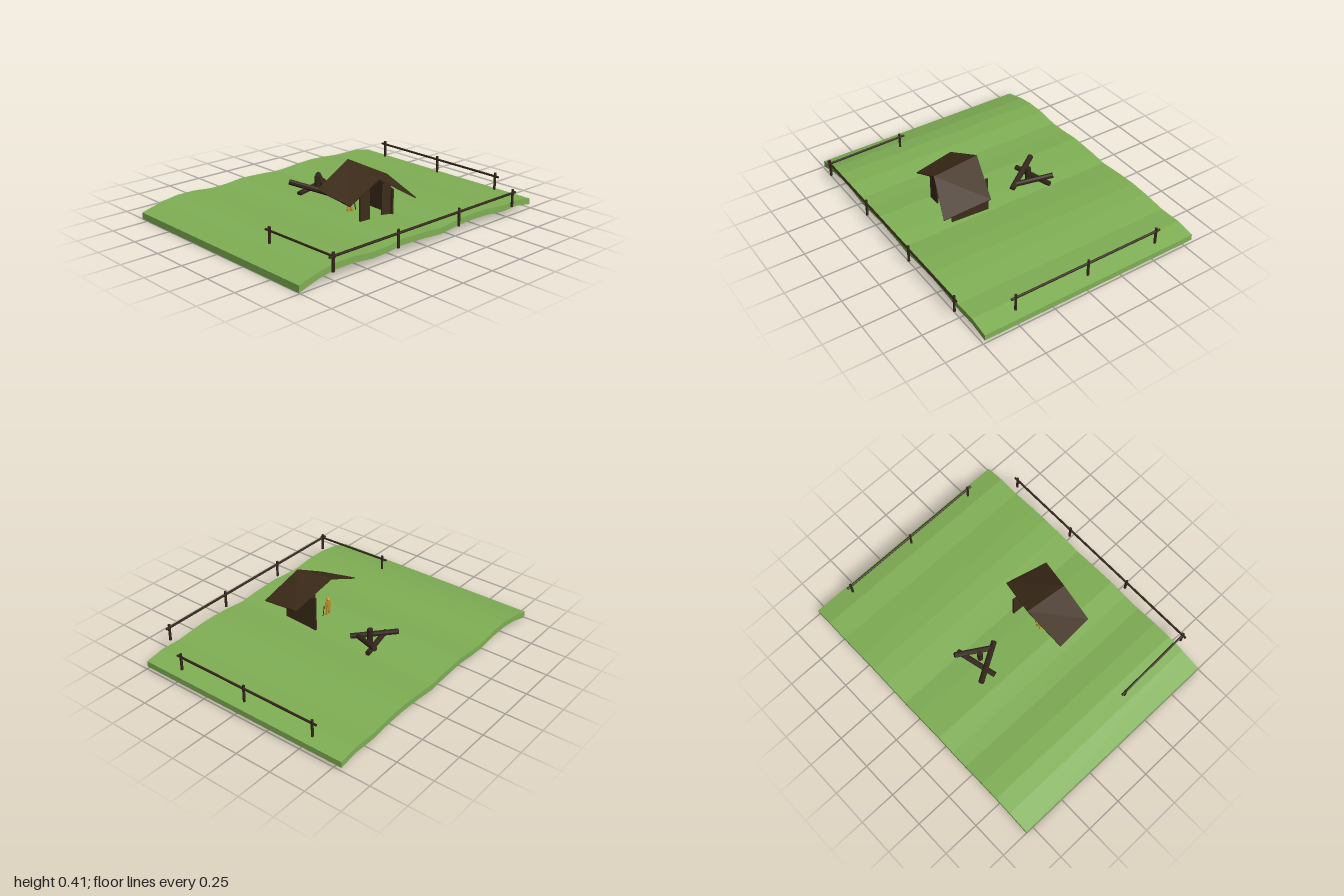
import * as THREE from 'three';

const mat = (color) => new THREE.MeshStandardMaterial({ color, flatShading: true });
const grass = mat(0x80b055), wood = mat(0x33261a), plankWood = mat(0x3e2d1a), gold = mat(0xc49a2e);
const V = (p) => new THREE.Vector3(...p);

function add(parent, name, geometry, material, pos = [0, 0, 0]) {
  const mesh = new THREE.Mesh(geometry, material);
  mesh.name = name;
  mesh.position.set(...pos);
  parent.add(mesh);
  return mesh;
}

// Slab spanning four top corners: back left, back right, front left, front right
function slab(parent, name, corners, thickness) {
  const [a, b, c, d] = corners.map(V);
  const n = b.clone().sub(a).cross(c.clone().sub(a)).normalize().negate();
  const geo = new THREE.BoxGeometry(1, 1, 1);
  const p = geo.attributes.position;
  for (let i = 0; i < p.count; i++) {
    const u = p.getX(i) + 0.5, v = p.getZ(i) + 0.5;
    const q = a.clone().lerp(b, u).lerp(c.clone().lerp(d, u), v);
    q.addScaledVector(n, (p.getY(i) - 0.5) * thickness);
    p.setXYZ(i, q.x, q.y, q.z);
  }
  geo.computeVertexNormals();
  return add(parent, name, geo, plankWood);
}

// Round bar between two points
function bar(parent, name, from, to, radius, material = wood, sides = 8) {
  const a = V(from), b = V(to), dir = b.clone().sub(a);
  const mesh = add(parent, name, new THREE.CylinderGeometry(radius, radius, dir.length(), sides), material);
  mesh.position.copy(a).lerp(b, 0.5);
  mesh.quaternion.setFromUnitVectors(new THREE.Vector3(0, 1, 0), dir.normalize());
  return mesh;
}

function group(parent, name) {
  const g = new THREE.Group();
  g.name = name;
  parent.add(g);
  return g;
}

// Fence: posts at the given spots, one rail from end to end
function fence(parent, name, from, to, posts) {
  const g = group(parent, name);
  bar(g, 'rail', [from[0], 0.17, from[1]], [to[0], 0.17, to[1]], 0.008, wood, 6);
  for (const [x, z] of posts) bar(g, 'post', [x, 0.077, z], [x, 0.194, z], 0.009, wood, 6);
}

export function createModel() {
  const model = new THREE.Group();
  model.name = 'campHut';

  // Rolling ground slab
  const profile = [[-1, 0.045], [-0.85, 0.084], [-0.73, 0.101], [-0.6, 0.101], [-0.45, 0.084],
    [-0.33, 0.088], [-0.2, 0.101], [0, 0.092], [0.12, 0.081], [0.3, 0.097], [0.43, 0.102],
    [0.55, 0.097], [0.72, 0.08], [0.87, 0.085], [1, 0.063]];
  const under = profile.map(([x, y]) => [x, Math.max(0, y - 0.04)]);
  under[0][1] = 0;
  const outline = [...under, ...profile.slice().reverse()].map(([x, y]) => new THREE.Vector2(x, y));
  add(model, 'ground', new THREE.ExtrudeGeometry(new THREE.Shape(outline), { depth: 1.545, bevelEnabled: false }),
    grass, [0, 0, -0.805]);

  // Fences
  fence(model, 'frontFence', [-0.82, 0.785], [0.78, 0.785], [-0.79, -0.285, 0.24, 0.755].map((x) => [x, 0.785]));
  fence(model, 'leftFence', [0.94, -0.58], [0.94, 0.52], [0.49, -0.03, -0.55].map((z) => [0.94, z]));
  fence(model, 'rightFence', [-0.805, 0.215], [-0.792, 0.8], [[-0.804, 0.25], [-0.793, 0.785]]);

  // Leaning hut: two roof panels, a side wall and front planks
  const hut = group(model, 'hut');
  const ridgeBack = [-0.05, 0.412, 0.105], ridgeFront = [-0.07, 0.36, 0.41];
  slab(hut, 'roofRight', [[-0.33, 0.28, 0.13], ridgeBack, [-0.31, 0.238, 0.4], ridgeFront], 0.008);
  slab(hut, 'roofLeft', [ridgeBack, [0.225, 0.272, 0.18], ridgeFront, [0.17, 0.205, 0.49]], 0.008);
  slab(hut, 'sideWall', [[0.1, 0.08, 0.118], [0.1, 0.325, 0.118], [0.085, 0.08, 0.38], [0.085, 0.25, 0.38]].map(
    ([x, y, z]) => [x - 0.012, y, z]), 0.012);
  add(hut, 'rightPlank', new THREE.BoxGeometry(0.08, 0.2, 0.012), plankWood, [-0.153, 0.19, 0.365]);
  add(hut, 'leftPlank', new THREE.BoxGeometry(0.07, 0.2, 0.012), plankWood, [0.042, 0.185, 0.355]).rotation.y = -0.12;

  // Log pile behind the hut
  const logs = group(model, 'logPile');
  bar(logs, 'log', [-0.13, 0.16, -0.375], [0.03, 0.1, -0.115], 0.019);
  bar(logs, 'log', [0.122, 0.16, -0.375], [0.005, 0.105, -0.15], 0.018);
  bar(logs, 'log', [-0.14, 0.108, -0.265], [0.14, 0.118, -0.335], 0.018);
  bar(logs, 'stump', [0.01, 0.09, -0.255], [0.01, 0.2, -0.255], 0.019);

  // Small standing figure inside the hut
  const figure = group(model, 'figure');
  figure.position.set(-0.095, 0.095, 0.17);
  for (const s of [-1, 1]) {
    bar(figure, 'leg', [s * 0.014, 0, 0], [s * 0.01, 0.055, 0], 0.008, gold);
    bar(figure, 'arm', [s * 0.018, 0.09, 0], [s * 0.027, 0.05, 0.01], 0.006, gold);
    add(figure, 'foot', new THREE.BoxGeometry(0.014, 0.008, 0.025), gold, [s * 0.014, 0.004, 0.006]);
  }
  add(figure, 'torso', new THREE.CylinderGeometry(0.02, 0.016, 0.048, 8), gold, [0, 0.074, 0]);
  add(figure, 'head', new THREE.SphereGeometry(0.015, 10, 8), gold, [0, 0.111, 0]);
  bar(figure, 'staff', [0.043, 0, 0.01], [0.03, 0.07, 0.01], 0.003, wood, 6);

  return model;
}
